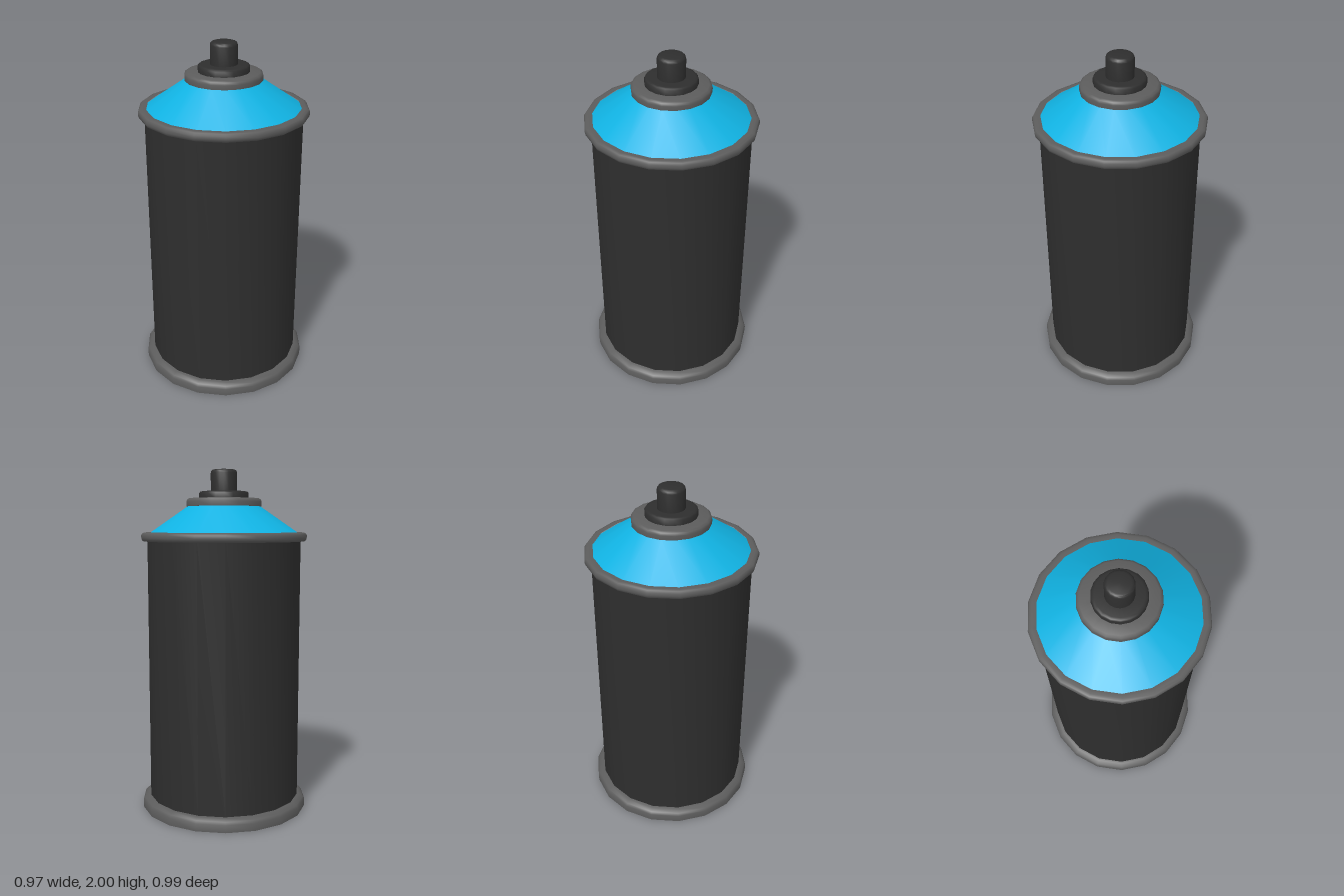
import * as THREE from 'three';
import { toCreasedNormals } from 'three/addons/utils/BufferGeometryUtils.js';

const SIDES = 18;

export function createModel() {
  const model = new THREE.Group();
  model.name = 'sprayCan';

  const material = (name, color) => {
    const m = new THREE.MeshStandardMaterial({ color });
    m.name = name;
    return m;
  };
  const black = material('blackPlastic', 0x2e2e2e);
  const grey = material('greyMetal', 0x5c5c5c);
  const blue = material('bluePaint', 0x10b2e2);

  // Turn a profile of [radius, height] points, listed bottom to top
  const turn = (name, mat, profile) => {
    const points = profile.map(([r, y]) => new THREE.Vector2(r, y));
    const geometry = toCreasedNormals(new THREE.LatheGeometry(points, SIDES), 0.85);
    const mesh = new THREE.Mesh(geometry, mat);
    mesh.name = name;
    model.add(mesh);
  };

  // Bottom rim, closed underneath
  turn('baseRim', grey, [
    [0, 0], [0.491, 0], [0.493, 0.045], [0.483, 0.06], [0.46, 0.073], [0.44, 0.075],
  ]);

  // Straight can wall
  turn('body', black, [[0.447, 0.06], [0.447, 1.6]]);

  // Rolled rim around the shoulder
  turn('topRim', grey, [
    [0.44, 1.59], [0.468, 1.59], [0.478, 1.597], [0.482, 1.61], [0.482, 1.627],
    [0.475, 1.638], [0.46, 1.642], [0.436, 1.64],
  ]);

  // Coloured shoulder
  turn('shoulder', blue, [[0.442, 1.632], [0.205, 1.795]]);

  // Valve cup
  turn('valveCup', grey, [
    [0.19, 1.79], [0.218, 1.79], [0.22, 1.815], [0.216, 1.829], [0.203, 1.836], [0.13, 1.837],
  ]);

  // Nozzle collar
  turn('nozzleCollar', black, [
    [0.145, 1.83], [0.145, 1.865], [0.139, 1.873], [0.127, 1.876], [0.06, 1.876],
  ]);

  // Push button with a rounded top edge
  turn('nozzle', black, [
    [0.077, 1.87], [0.077, 1.98], [0.074, 1.99], [0.068, 1.997], [0.058, 2], [0, 2],
  ]);

  return model;
}
